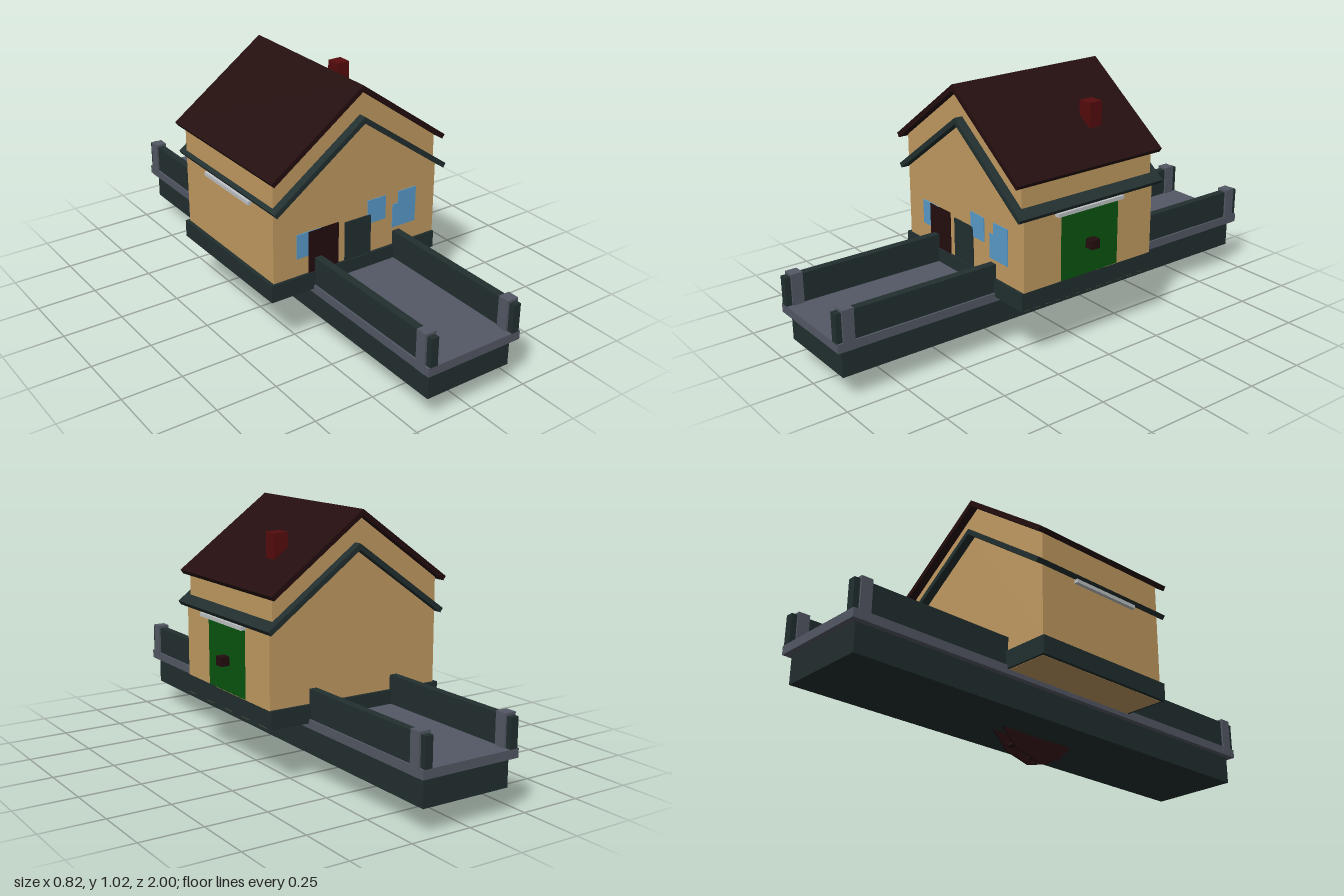
import * as THREE from 'three';

const mat = (name, color) => {
  const m = new THREE.MeshStandardMaterial({ color });
  m.name = name;
  return m;
};

export function createModel() {
  const model = new THREE.Group();
  model.name = 'bridgeHouse';

  const tan = mat('tanWall', 0xc39c62);
  const green = mat('darkGreen', 0x222f2f);
  const brown = mat('darkBrown', 0x240d0e);
  const red = mat('brickRed', 0x570c0d);
  const grey = mat('slateGrey', 0x545965);
  const blue = mat('windowBlue', 0x5a9ccb);
  const silver = mat('paleGrey', 0xc0c4c6);
  const leaf = mat('doorGreen', 0x07560f);

  const add = (name, geometry, material, parent = model) => {
    const mesh = new THREE.Mesh(geometry, material);
    mesh.name = name;
    parent.add(mesh);
    return mesh;
  };
  // Box given by its limits on each axis
  const box = (name, material, [x0, x1], [y0, y1], [z0, z1], parent) => {
    const mesh = add(name, new THREE.BoxGeometry(x1 - x0, y1 - y0, z1 - z0), material, parent);
    mesh.position.set((x0 + x1) / 2, (y0 + y1) / 2, (z0 + z1) / 2);
    return mesh;
  };
  // Front outline extruded evenly to both sides of z = 0
  const prism = (name, material, points, halfDepth) => {
    const shape = new THREE.Shape(points.map(([x, y]) => new THREE.Vector2(x, y)));
    const geometry = new THREE.ExtrudeGeometry(shape, { depth: halfDepth * 2, bevelEnabled: false });
    geometry.translate(0, 0, -halfDepth);
    return add(name, geometry, material);
  };
  // Two sloping slabs that meet at a ridge
  const roof = (name, material, cx, ridge, half, drop, t) => {
    const s = drop / half, L = Math.hypot(s, 1);
    const ex = half - t * s / L, ey = ridge - drop - t / L;
    prism(name, material, [
      [cx - half, ridge - drop], [cx - ex, ey], [cx, ridge - t * L],
      [cx + ex, ey], [cx + half, ridge - drop], [cx, ridge],
    ], 0.35);
  };

  // Bridge deck and the beam under it
  box('deck', grey, [-0.21, 0.21], [0.21, 0.245], [-1, 1]);
  box('beam', green, [-0.187, 0.187], [0.098, 0.21], [-0.975, 0.975]);

  // Railings and end posts
  for (const sx of [-1, 1]) {
    for (const sz of [-1, 1]) {
      const corner = new THREE.Group();
      corner.name = 'railing';
      corner.position.set(sx * 0.187, 0, 0);
      model.add(corner);
      const rail = box('railPanel', green, [-0.016, 0.016], [0.245, 0.36], [0.3, 1], corner);
      const post = box('railPost', grey, [-0.024, 0.024], [0.21, 0.37], [0.93, 0.977], corner);
      rail.position.z *= sz;
      post.position.z *= sz;
    }
  }

  // House base, floor and walls
  box('houseBase', green, [-0.4, 0.375], [0.23, 0.302], [-0.325, 0.325]);
  box('floorUnderside', tan, [-0.385, 0.374], [0.229, 0.235], [-0.315, 0.315]);
  prism('lowerWalls', tan, [[-0.385, 0.3], [0.375, 0.3], [0.375, 0.6], [0, 0.868], [-0.385, 0.6]], 0.315);
  prism('upperWalls', tan, [[-0.385, 0.59], [0.362, 0.59], [0.362, 0.728], [-0.012, 0.994], [-0.385, 0.728]], 0.315);

  // Roofs and chimney
  roof('lowerRoof', green, 0, 0.892, 0.4, 0.287, 0.02);
  roof('upperRoof', brown, -0.012, 1.018, 0.399, 0.287, 0.02);
  box('chimney', red, [0.193, 0.253], [0.78, 0.927], [-0.155, -0.095]);

  // Front doors and windows
  const front = (name, material, x, y, out) => box(name, material, x, y, [0.313, out]);
  front('frontDoor', brown, [-0.23, -0.093], [0.3, 0.476], 0.32);
  front('centrePanel', green, [-0.062, 0.06], [0.3, 0.465], 0.32);
  front('leftWindow', blue, [-0.283, -0.17], [0.376, 0.477], 0.318);
  front('middleWindow', blue, [0.045, 0.132], [0.427, 0.526], 0.318);
  front('rightLowWindow', blue, [0.167, 0.28], [0.376, 0.477], 0.318);
  front('rightHighWindow', blue, [0.193, 0.28], [0.427, 0.526], 0.3185);

  // Side door with its knob, and a pale bar on each side wall
  box('sideDoor', leaf, [0.37, 0.3758], [0.302, 0.575], [-0.14, 0.14]);
  box('sideKnob', brown, [0.37, 0.412], [0.409, 0.446], [-0.02, 0.02]);
  box('sideBar', silver, [0.37, 0.398], [0.573, 0.588], [-0.15, 0.17]);
  box('sideBar', silver, [-0.4, -0.38], [0.573, 0.588], [-0.15, 0.17]);

  // Wheel under the deck: rims, drum, crossbars and spokes
  const wheel = new THREE.Group();
  wheel.name = 'wheel';
  wheel.position.y = 0.222;
  model.add(wheel);
  const sides = 12, radius = 0.222;
  const ring = (r) => Array.from({ length: sides }, (_, i) => {
    const a = i / sides * Math.PI * 2 - Math.PI / 2;
    return new THREE.Vector2(Math.cos(a) * r, Math.sin(a) * r);
  });
  const rimShape = new THREE.Shape(ring(radius));
  rimShape.holes.push(new THREE.Path(ring(0.15).reverse()));
  const rimGeometry = new THREE.ExtrudeGeometry(rimShape, { depth: 0.006, bevelEnabled: false });
  rimGeometry.translate(0, 0, -0.003).rotateY(Math.PI / 2);
  for (const sx of [-1, 1]) add('wheelRim', rimGeometry, brown, wheel).position.x = sx * 0.026;
  const drum = new THREE.ExtrudeGeometry(new THREE.Shape(ring(0.164)), { depth: 0.05, bevelEnabled: false });
  drum.translate(0, 0, -0.025).rotateY(Math.PI / 2);
  add('wheelDrum', drum, brown, wheel);
  for (let i = 0; i < sides; i++) {
    const arm = new THREE.Group();
    arm.name = 'wheelArm';
    arm.rotation.x = i / sides * Math.PI * 2;
    wheel.add(arm);
    box('crossbar', brown, [-0.026, 0.026], [-0.203, -0.19], [-0.008, 0.008], arm);
    box('spoke', brown, [-0.005, 0.005], [-0.195, -0.15], [-0.005, 0.005], arm);
  }

  return model;
}
